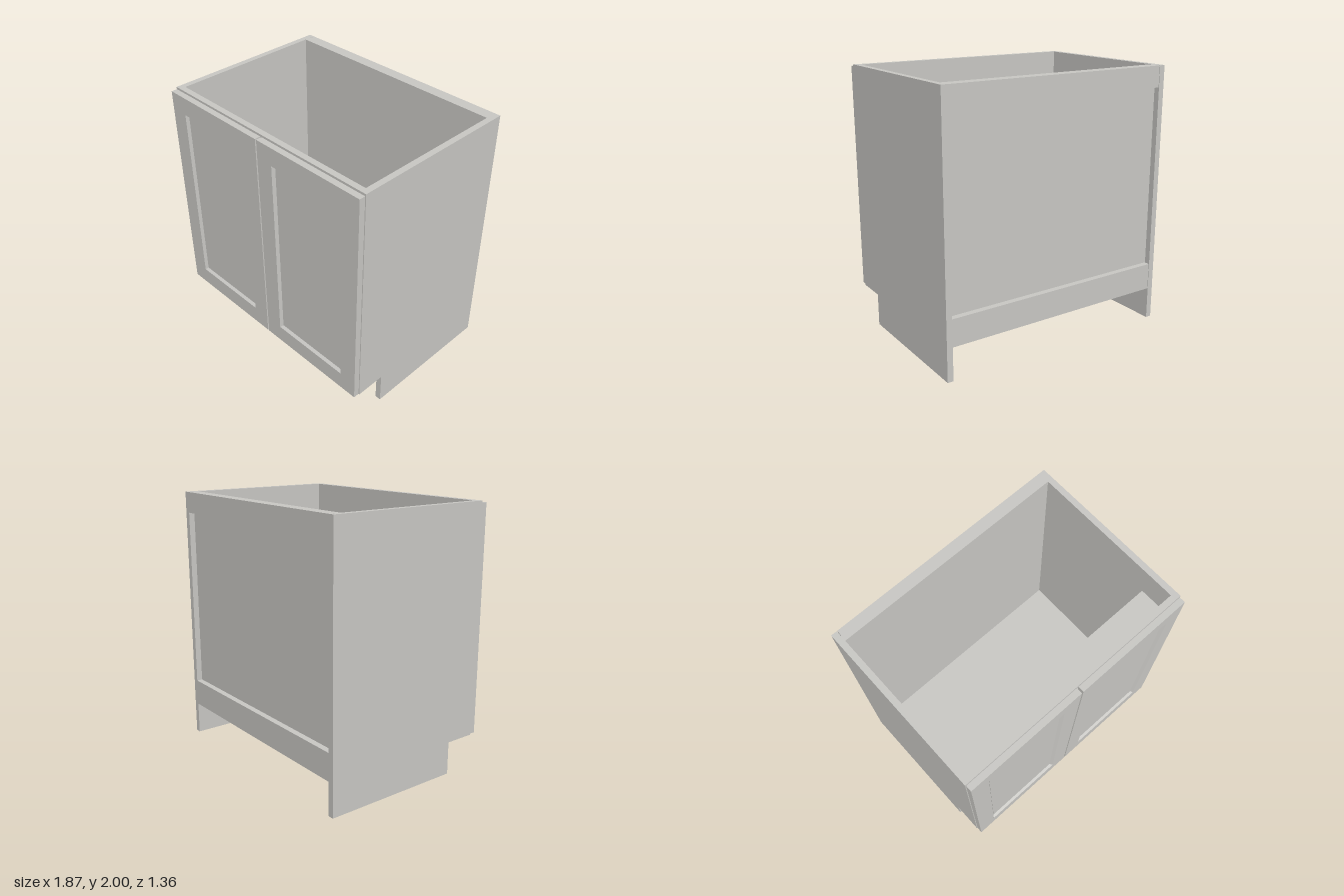
import * as THREE from 'three';

const T = 0.045; // board thickness

export function createModel() {
  const grey = new THREE.MeshStandardMaterial({ color: 0xc8c7c3 });
  grey.name = 'warm grey';
  const cabinet = new THREE.Group();
  cabinet.name = 'baseCabinet';

  const add = (name, geometry) => {
    const mesh = new THREE.Mesh(geometry, grey);
    mesh.name = name;
    cabinet.add(mesh);
    return mesh;
  };

  // Board given by its minimum and maximum on each axis
  const board = (name, x0, x1, y0, y1, z0, z1) => {
    const mesh = add(name, new THREE.BoxGeometry(x1 - x0, y1 - y0, z1 - z0));
    mesh.position.set((x0 + x1) / 2, (y0 + y1) / 2, (z0 + z1) / 2);
  };

  // Side panels with the toe-kick notch, profile drawn as (-z, y)
  const profile = new THREE.Shape([
    [0.68, 0], [0.68, 2], [-0.632, 2], [-0.632, 0.25], [-0.4, 0.25], [-0.4, 0],
  ].map(([a, b]) => new THREE.Vector2(a, b)));
  const side = new THREE.ExtrudeGeometry(profile, { depth: T, bevelEnabled: false });
  side.rotateY(Math.PI / 2);
  add('leftSide', side).position.x = 0.935 - T;
  add('rightSide', side).position.x = -0.935;

  // Carcass boards
  const X = 0.935 - T;
  board('bottomPanel', -X, X, 0.25, 0.3, -0.635, 0.632);
  board('backPanel', -X, X, 0.3, 2, -0.635, -0.59);
  board('backTopRail', -X + 0.004, X, 1.84, 2, -0.68, -0.635);
  board('backBottomRail', -X + 0.004, X, 0.25, 0.455, -0.68, -0.635);
  board('frontTopRail', -X, X, 1.71, 2, 0.587, 0.632);
  board('frontStretcher', -X, X, 1.71, 1.755, 0.38, 0.587);

  // Doors with a bevelled, recessed centre panel
  add('leftDoor', doorGeometry(0.006, 0.93));
  add('rightDoor', doorGeometry(-0.93, -0.006));
  return cabinet;
}

// Rectangular rings from back edge to recess floor, joined by quads
function doorGeometry(x0, x1) {
  const y0 = 0.255, y1 = 1.985;
  const ring = (inset, z) => [
    [x0 + inset, y0 + inset, z], [x1 - inset, y0 + inset, z],
    [x1 - inset, y1 - inset, z], [x0 + inset, y1 - inset, z],
  ];
  const rings = [ring(0, 0.634), ring(0, 0.68), ring(0.139, 0.68), ring(0.155, 0.66)];
  const points = [];
  const quad = (a, b, c, d) => points.push(...a, ...b, ...c, ...a, ...c, ...d);
  for (let r = 0; r < 3; r++) {
    for (let i = 0; i < 4; i++) {
      const j = (i + 1) % 4;
      quad(rings[r][i], rings[r][j], rings[r + 1][j], rings[r + 1][i]);
    }
  }
  quad(...rings[3]); // recess floor
  quad(...[...rings[0]].reverse()); // door back
  const geometry = new THREE.BufferGeometry();
  geometry.setAttribute('position', new THREE.Float32BufferAttribute(points, 3));
  geometry.computeVertexNormals();
  return geometry;
}
